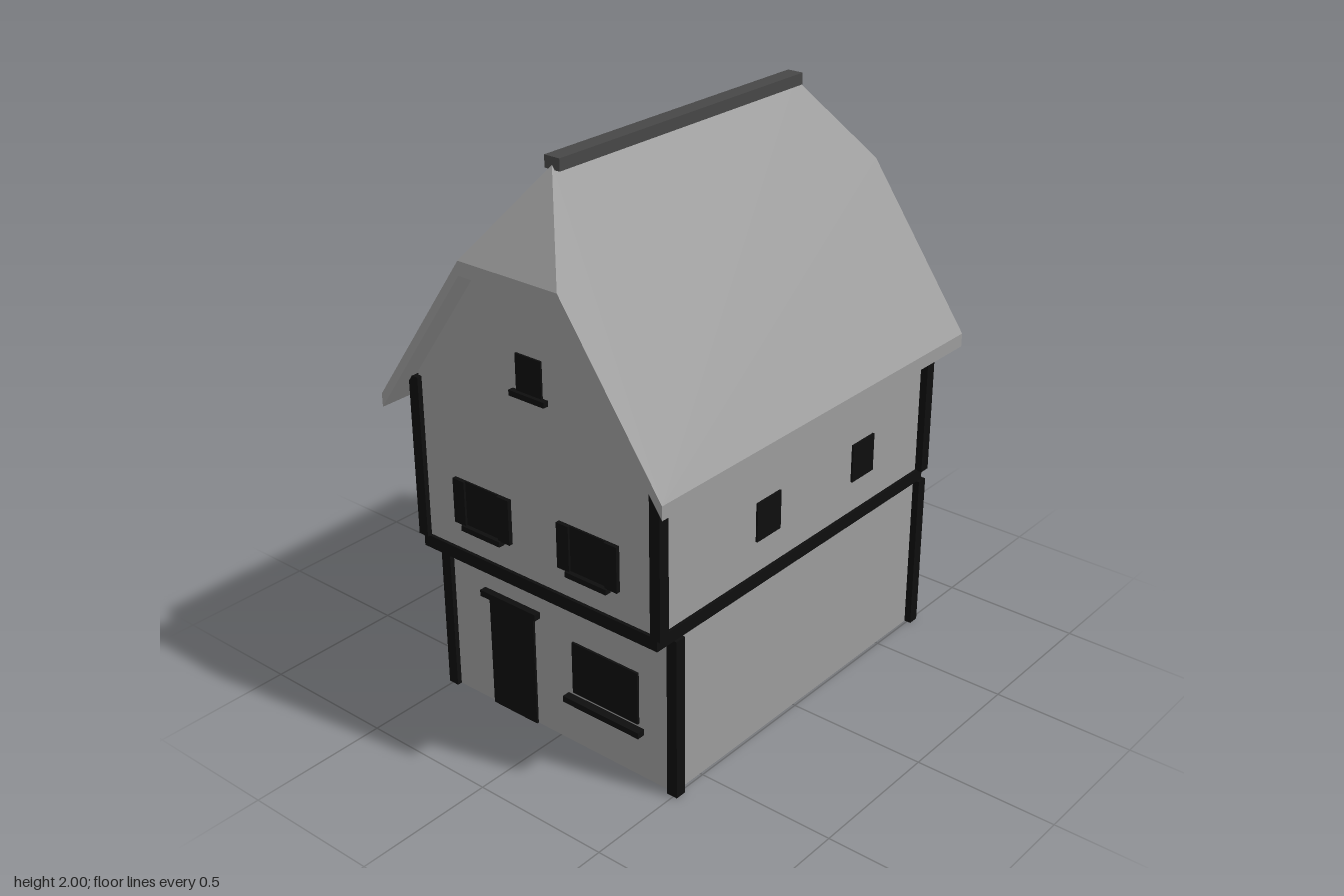
import * as THREE from 'three';

const plaster = new THREE.MeshStandardMaterial({ color: 0x9c9c9c, name: 'greyPlaster' });
const timber = new THREE.MeshStandardMaterial({ color: 0x0e0e0e, name: 'blackTimber' });
const slate = new THREE.MeshStandardMaterial({ color: 0x474747, name: 'darkRidge' });

export function createModel() {
  const house = new THREE.Group();
  house.name = 'house';

  // box given by its limits on each axis
  const box = (name, mat, [x0, x1], [y0, y1], [z0, z1], parent = house) => {
    const m = new THREE.Mesh(new THREE.BoxGeometry(x1 - x0, y1 - y0, z1 - z0), mat);
    m.position.set((x0 + x1) / 2, (y0 + y1) / 2, (z0 + z1) / 2);
    m.name = name;
    parent.add(m);
    return m;
  };

  // walls of both floors, with the jettied floor beam between
  box('lowerWalls', plaster, [-0.49, 0.49], [0, 0.59], [-0.71, 0.63]);
  box('floorBeam', timber, [-0.505, 0.505], [0.585, 0.63], [-0.718, 0.727]);
  box('upperWalls', plaster, [-0.495, 0.495], [0.625, 1.205], [-0.715, 0.715]);

  // corner posts
  for (const s of [-1, 1]) {
    const span = (a, b) => (s > 0 ? [a, b] : [-b, -a]);
    box('lowerFrontPost', timber, span(0.475, 0.515), [0, 0.585], [0.607, 0.648]);
    box('lowerBackPost', timber, span(0.475, 0.515), [0, 0.585], [-0.73, -0.69]);
    box('upperFrontPost', timber, span(0.482, 0.522), [0.627, 1.205], [0.692, 0.733]);
    box('upperBackPost', timber, span(0.482, 0.522), [0.627, 1.205], [-0.73, -0.69]);
  }

  // clipped gable under the roof
  const gable = new THREE.Shape([
    [-0.495, 1.205], [0.495, 1.205], [0.495, 1.22], [0.12, 1.752], [-0.12, 1.752], [-0.495, 1.22],
  ].map(([x, y]) => new THREE.Vector2(x, y)));
  const gableMesh = new THREE.Mesh(
    new THREE.ExtrudeGeometry(gable, { depth: 1.43, bevelEnabled: false }), plaster);
  gableMesh.position.z = -0.715;
  gableMesh.name = 'gableWalls';
  house.add(gableMesh);

  house.add(buildRoof());
  box('ridgeCap', slate, [-0.03, 0.03], [1.96, 2], [-0.59, 0.59]);

  // door and ground floor window
  box('door', timber, [-0.305, -0.105], [0, 0.43], [0.62, 0.638]);
  box('doorLintel', timber, [-0.33, -0.08], [0.422, 0.445], [0.62, 0.655]);
  box('lowerWindow', timber, [0.065, 0.345], [0.2, 0.393], [0.62, 0.638]);
  box('lowerWindowSill', timber, [0.04, 0.365], [0.165, 0.187], [0.62, 0.66]);

  // shuttered windows: two at the front, one at the back
  const shuttered = (x, turn) => {
    const g = new THREE.Group();
    g.name = 'shutteredWindow';
    box('pane', timber, [-0.075, 0.075], [0.73, 0.89], [0.705, 0.722], g);
    box('sill', timber, [-0.085, 0.085], [0.713, 0.732], [0.705, 0.738], g);
    for (const c of [-0.098, 0.098])
      box('shutter', timber, [c - 0.025, c + 0.025], [0.73, 0.89], [0.705, 0.73], g);
    g.position.x = x;
    g.rotation.y = turn;
    house.add(g);
  };
  shuttered(-0.227, 0);
  shuttered(0.225, 0);
  shuttered(0, Math.PI);

  // attic window and the two small windows on the left wall
  box('atticWindow', timber, [-0.053, 0.052], [1.28, 1.41], [0.705, 0.722]);
  box('atticSill', timber, [-0.073, 0.073], [1.268, 1.287], [0.705, 0.735]);
  for (const z of [0.173, -0.347])
    box('sideWindow', timber, [0.485, 0.502], [0.745, 0.883], [z - 0.061, z + 0.061]);

  return house;
}

// half-hipped roof shell: outer slopes, underside and rim
function buildRoof() {
  const drop = 0.048, positions = [];
  const face = (pts) => {
    for (let i = 1; i < pts.length - 1; i++) positions.push(...pts[0], ...pts[i], ...pts[i + 1]);
  };
  const low = ([x, y, z]) => [x, y - drop, z];
  const slope = (pts) => {
    face(pts);
    face(pts.map(low).reverse());
  };
  const front = [[-0.585, 1.142, 0.795], [-0.2, 1.69, 0.795], [0.2, 1.69, 0.795], [0.585, 1.142, 0.795]];
  const back = front.map(([x, y, z]) => [-x, y, -z]);
  const ridgeFront = [0, 1.975, 0.59], ridgeBack = [0, 1.975, -0.59];

  slope([front[3], back[0], back[1], ridgeBack, ridgeFront, front[2]]);
  slope([back[3], front[0], front[1], ridgeFront, ridgeBack, back[2]]);
  slope([front[1], front[2], ridgeFront]);
  slope([back[1], back[2], ridgeBack]);

  const rim = [...front, ...back];
  rim.forEach((p, i) => {
    const q = rim[(i + 1) % rim.length];
    face([low(p), low(q), q, p]);
  });

  const geo = new THREE.BufferGeometry();
  geo.setAttribute('position', new THREE.Float32BufferAttribute(positions, 3));
  geo.computeVertexNormals();
  const roof = new THREE.Mesh(geo, plaster);
  roof.name = 'roof';
  return roof;
}
